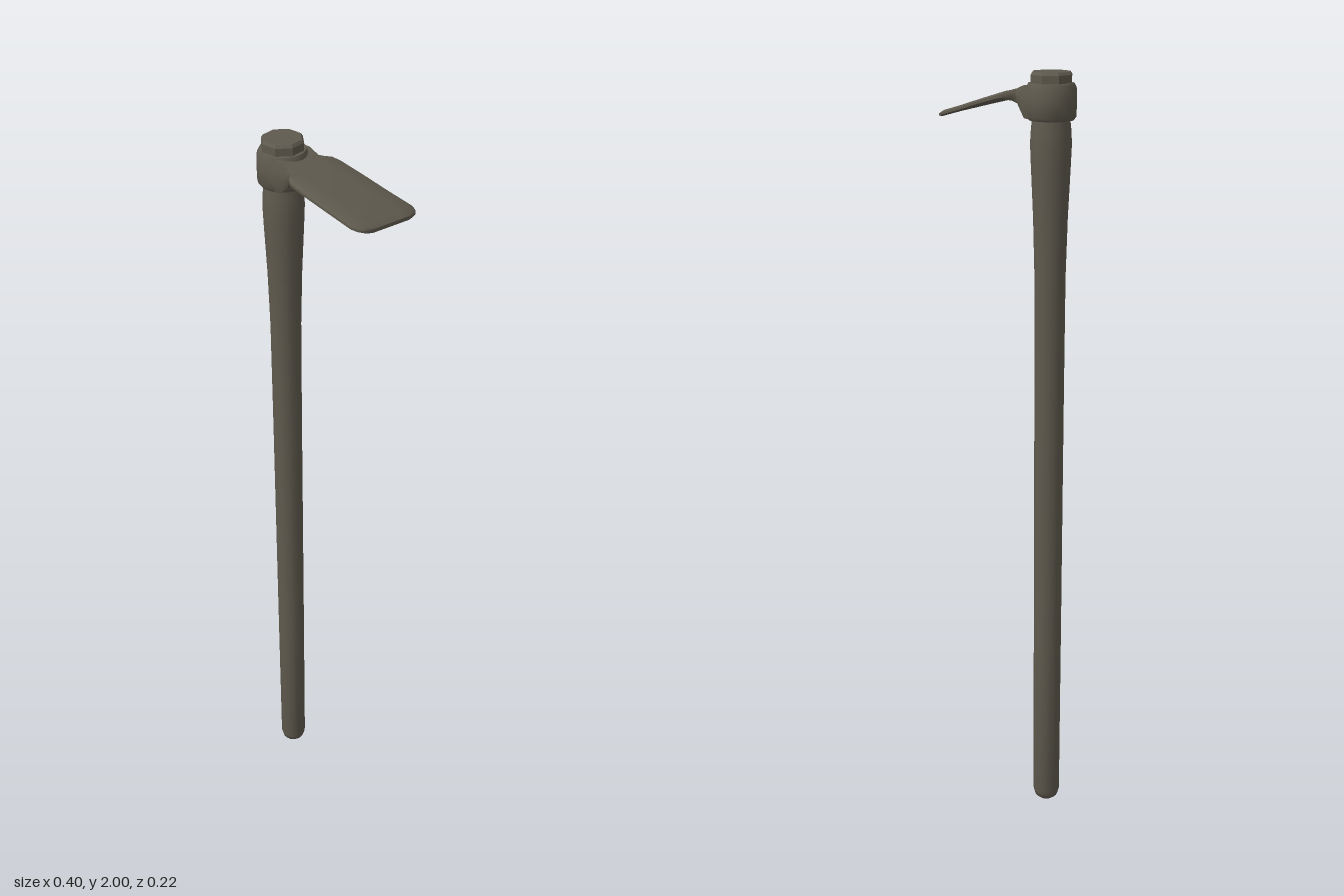
import * as THREE from 'three';
import { toCreasedNormals } from 'three/addons/utils/BufferGeometryUtils.js';

const AXIS_X = -0.138, AXIS_Z = -0.012;

// Surface turned around the handle axis from [radius, y] points
function turned(name, points, sides, material, crease, phi = 0) {
  const profile = points.map(([r, y]) => new THREE.Vector2(r, y));
  const geometry = toCreasedNormals(new THREE.LatheGeometry(profile, sides, phi), crease);
  const mesh = new THREE.Mesh(geometry, material);
  mesh.name = name;
  mesh.position.set(AXIS_X, 0, AXIS_Z);
  return mesh;
}

// Neck and blade: stations along x of [x, back z, front z, bottom y, top y, slope across z]
function bladeGeometry() {
  const stations = [
    [-0.135, -0.073, 0.049, 1.888, 1.970, 0],
    [-0.100, -0.072, 0.048, 1.890, 1.968, 0],
    [-0.085, -0.068, 0.044, 1.903, 1.964, 0],
    [-0.070, -0.067, 0.043, 1.923, 1.959, 0.01],
    [-0.060, -0.078, 0.052, 1.931, 1.956, 0.02],
    [-0.050, -0.094, 0.069, 1.933, 1.954, 0.03],
    [-0.035, -0.100, 0.080, 1.932, 1.950, 0.04],
    [0.030, -0.104, 0.090, 1.919, 1.935, 0.07],
    [0.100, -0.108, 0.100, 1.904, 1.919, 0.11],
    [0.165, -0.112, 0.110, 1.891, 1.905, 0.14],
    [0.180, -0.108, 0.106, 1.888, 1.901, 0.15],
    [0.190, -0.096, 0.095, 1.886, 1.898, 0.15],
    [0.196, -0.072, 0.075, 1.886, 1.895, 0.15],
  ];
  const across = [0, 0.05, 0.25, 0.5, 0.75, 0.95, 1];
  const loop = [
    ...across.map((t) => [t, t % 1 === 0 ? 0.4 : 1]),
    ...across.map((t) => [1 - t, t % 1 === 0 ? -0.4 : -1]),
  ];
  const n = loop.length, positions = [], index = [];
  for (const [x, back, front, low, high, slope] of stations) {
    for (const [t, side] of loop) {
      const z = back + (front - back) * t;
      positions.push(x, (low + high) / 2 + side * (high - low) / 2 + slope * z, z);
    }
  }
  for (let i = 0; i < stations.length - 1; i++) {
    for (let j = 0; j < n; j++) {
      const a = i * n + j, b = i * n + (j + 1) % n;
      index.push(a, b, a + n, b, b + n, a + n);
    }
  }
  // Cutting edge
  const last = (stations.length - 1) * n;
  for (let j = 1; j < n - 1; j++) index.push(last, last + j, last + j + 1);

  const geometry = new THREE.BufferGeometry();
  geometry.setAttribute('position', new THREE.Float32BufferAttribute(positions, 3));
  geometry.setIndex(index);
  return toCreasedNormals(geometry, 0.8);
}

export function createModel() {
  const model = new THREE.Group();
  model.name = 'hoe';
  const agedBrown = new THREE.MeshStandardMaterial({ color: 0x5f5a4e });
  agedBrown.name = 'agedBrown';

  // Long shaft with a rounded foot and a swelling below the head
  model.add(turned('handle', [
    [0, 0], [0.02, 0.003], [0.031, 0.012], [0.036, 0.03], [0.037, 0.5], [0.038, 1.2],
    [0.039, 1.5], [0.043, 1.65], [0.049, 1.78], [0.051, 1.83], [0.049, 1.865], [0.045, 1.9],
  ], 16, agedBrown, 0.9));

  // Eight-sided end of the handle above the collar
  model.add(turned('handleTop', [
    [0.052, 1.94], [0.053, 1.993], [0.048, 2], [0, 2],
  ], 8, agedBrown, 0.5, Math.PI / 8));

  // Ring that grips the handle
  model.add(turned('collar', [
    [0.04, 1.886], [0.055, 1.886], [0.061, 1.894], [0.062, 1.93],
    [0.061, 1.962], [0.056, 1.973], [0.045, 1.974],
  ], 24, agedBrown, 0.7));

  // Slightly twisted blade with its neck
  const blade = new THREE.Mesh(bladeGeometry(), agedBrown);
  blade.name = 'blade';
  model.add(blade);

  return model;
}
